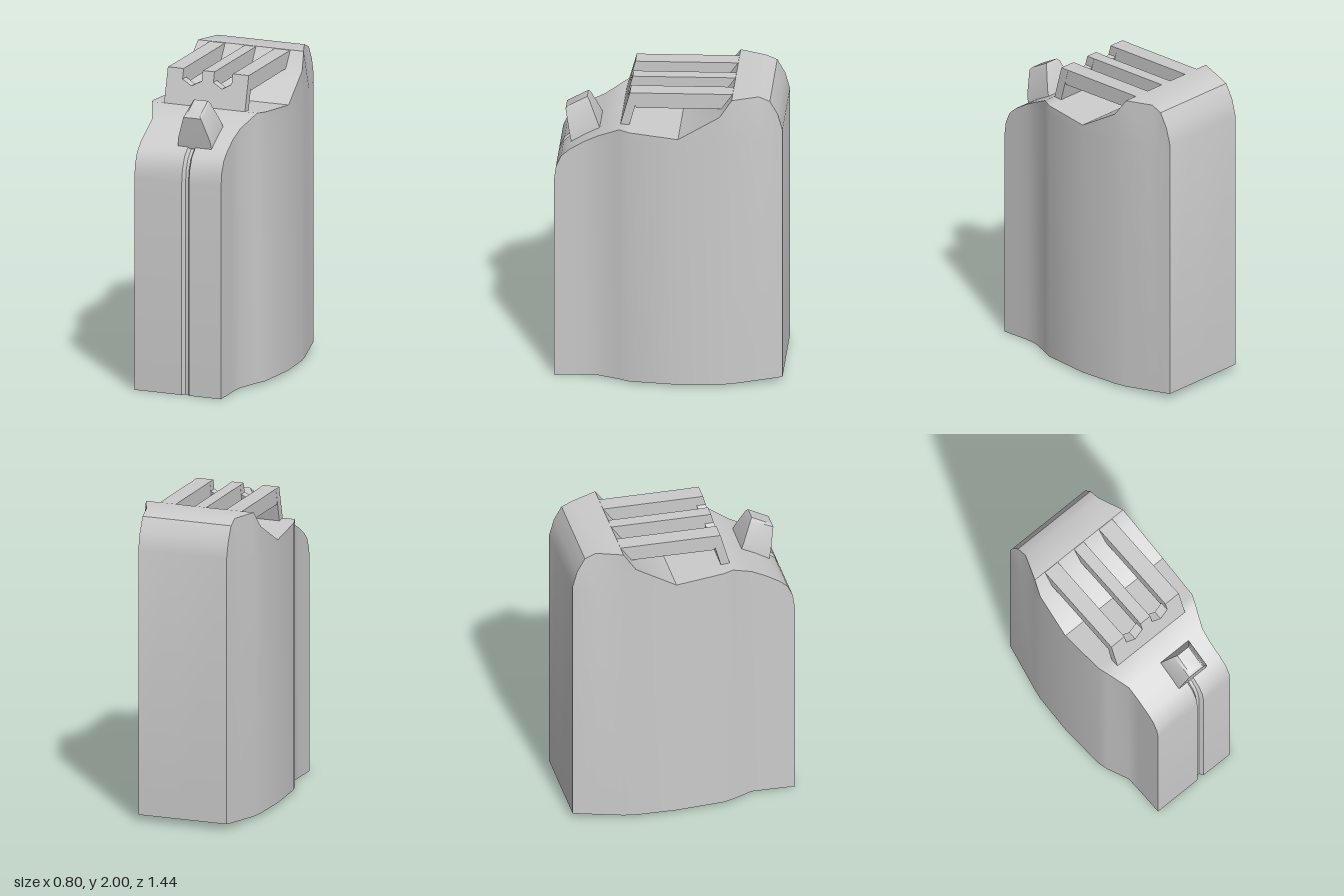
import * as THREE from 'three';
import { toCreasedNormals } from 'three/addons/utils/BufferGeometryUtils.js';

const material = new THREE.MeshStandardMaterial({ color: 0xcccccc });

function part(name, geometry, crease = 0.6) {
  const mesh = new THREE.Mesh(toCreasedNormals(geometry, crease), material);
  mesh.name = name;
  return mesh;
}

// Joins closed rings of points, ordered front to back, and caps both ends.
// Each ring runs along its upper row and back along its lower one; point j faces point last - j.
function loft(rings, last) {
  const n = rings[0].length, index = [];
  const quad = (a, b, c, d) => index.push(a, b, c, a, c, d);
  for (let i = 0; i < rings.length - 1; i++)
    for (let j = 0; j < n; j++) {
      const k = (j + 1) % n;
      quad(i * n + j, i * n + k, (i + 1) * n + k, (i + 1) * n + j);
    }
  const end = (rings.length - 1) * n;
  for (let j = 0; j + 1 < last - 1 - j; j++) {
    quad(j, last - j, last - 1 - j, j + 1);
    quad(end + j, end + j + 1, end + last - 1 - j, end + last - j);
  }
  const g = new THREE.BufferGeometry();
  g.setAttribute('position', new THREE.Float32BufferAttribute(rings.flat(2), 3));
  g.setIndex(index);
  return g;
}

// Extrudes a side outline of [z, y] points from x0 to x1.
function sideExtrude(points, x0, x1) {
  const shape = new THREE.Shape(points.map(p => new THREE.Vector2(...p)));
  return new THREE.ExtrudeGeometry(shape, { depth: x1 - x0, bevelEnabled: false })
    .rotateY(-Math.PI / 2).translate(x1, 0, 0);
}

// Can body: z, top, bottom, left edge, right edge, inset of the top edge, groove depth in z and y
function bodyGeometry() {
  const stations = [
    [0.72, 1.37, 0, -0.31, 0.285, 0, 0.026, 0],
    [0.708, 1.46, 0, -0.31, 0.285, 0, 0.025, 0.008],
    [0.675, 1.535, 0.001, -0.31, 0.285, 0, 0.018, 0.018],
    [0.62, 1.585, 0.003, -0.31, 0.285, 0, 0.012, 0.02],
    [0.53, 1.642, 0.006, -0.31, 0.285, 0, 0, 0],
    [0.44, 1.69, 0.01, -0.312, 0.295, 0, 0, 0],
    [0.305, 1.765, 0.015, -0.372, 0.35, 0, 0, 0],
    [0.24, 1.76, 0.015, -0.39, 0.378, 0, 0, 0],
    [-0.07, 1.735, 0.015, -0.403, 0.4, 0, 0, 0],
    [-0.33, 1.89, 0.015, -0.39, 0.378, 0, 0, 0],
    [-0.405, 2, 0.015, -0.376, 0.362, 0.006, 0, 0],
    [-0.57, 2, 0.027, -0.342, 0.322, 0.034, 0, 0],
    [-0.64, 1.97, 0.033, -0.327, 0.305, 0.018, 0, 0],
    [-0.69, 1.88, 0.037, -0.317, 0.293, 0.007, 0, 0],
    [-0.72, 1.77, 0.04, -0.31, 0.285, 0, 0, 0],
  ];
  const rings = stations.map(([z, t, b, l, r, inset, gz, gy]) => {
    const row = (y, edge, dy) => [l + edge, 0.015, 0.03, 0.05, 0.065, r - edge].map((x, i) => {
      const inGroove = i === 2 || i === 3;
      return [x, y - (inGroove ? dy : 0), z - (inGroove ? gz : 0)];
    });
    const mid = Math.min(t - 0.05, 1.7);
    return [...row(t, inset, gy), [r, mid, z], ...row(b, 0, 0).reverse(), [l, mid, z]];
  });
  return loft(rings, 12);
}

// Leaning front plate of the handle, with two pointed notches in its top edge
function plateGeometry() {
  const shape = new THREE.Shape([
    [-0.29, 1.755], [0.265, 1.755], [0.265, 1.985],
    [0.155, 1.985], [0.155, 1.92], [0.093, 1.885], [0.03, 1.92], [0.03, 1.985],
    [-0.05, 1.985], [-0.05, 1.92], [-0.117, 1.885], [-0.182, 1.92], [-0.182, 1.985],
    [-0.29, 1.985],
  ].map(p => new THREE.Vector2(...p)));
  const g = new THREE.ExtrudeGeometry(shape, { depth: 0.058, bevelEnabled: false });
  const p = g.attributes.position;
  for (let i = 0; i < p.count; i++)
    p.setZ(i, p.getZ(i) + 0.245 - (p.getY(i) - 1.765) * 0.27);
  return g;
}

// Tapered spout cap: each ring is left, right, back [z, y] and front [z, y]
function capGeometry() {
  const rings = [
    [0.016, 0.108, [0.524, 1.87], [0.648, 1.8]],
    [0.0, 0.12, [0.512, 1.855], [0.66, 1.785]],
    [-0.048, 0.17, [0.455, 1.725], [0.632, 1.64]],
    [-0.054, 0.177, [0.437, 1.68], [0.618, 1.575]],
  ].map(([l, r, [bz, by], [fz, fy]]) =>
    [[l, by, bz], [r, by, bz], [r, fy, fz], [l, fy, fz]]);
  return loft(rings, 3);
}

export function createModel() {
  const model = new THREE.Group();
  model.name = 'fuelCan';
  model.add(part('body', bodyGeometry()));
  model.add(part('spoutCap', capGeometry(), 0.5));

  // Three-bar carrying handle
  const handle = new THREE.Group();
  handle.name = 'handle';
  handle.add(part('handlePlate', plateGeometry()));
  const outline = [[0.235, 1.984], [0.205, 1.88], [-0.35, 1.895], [-0.42, 1.998]];
  for (const [x0, x1] of [[-0.289, -0.183], [-0.049, 0.029], [0.156, 0.264]])
    handle.add(part('handleBar', sideExtrude(outline, x0, x1)));
  model.add(handle);
  return model;
}
